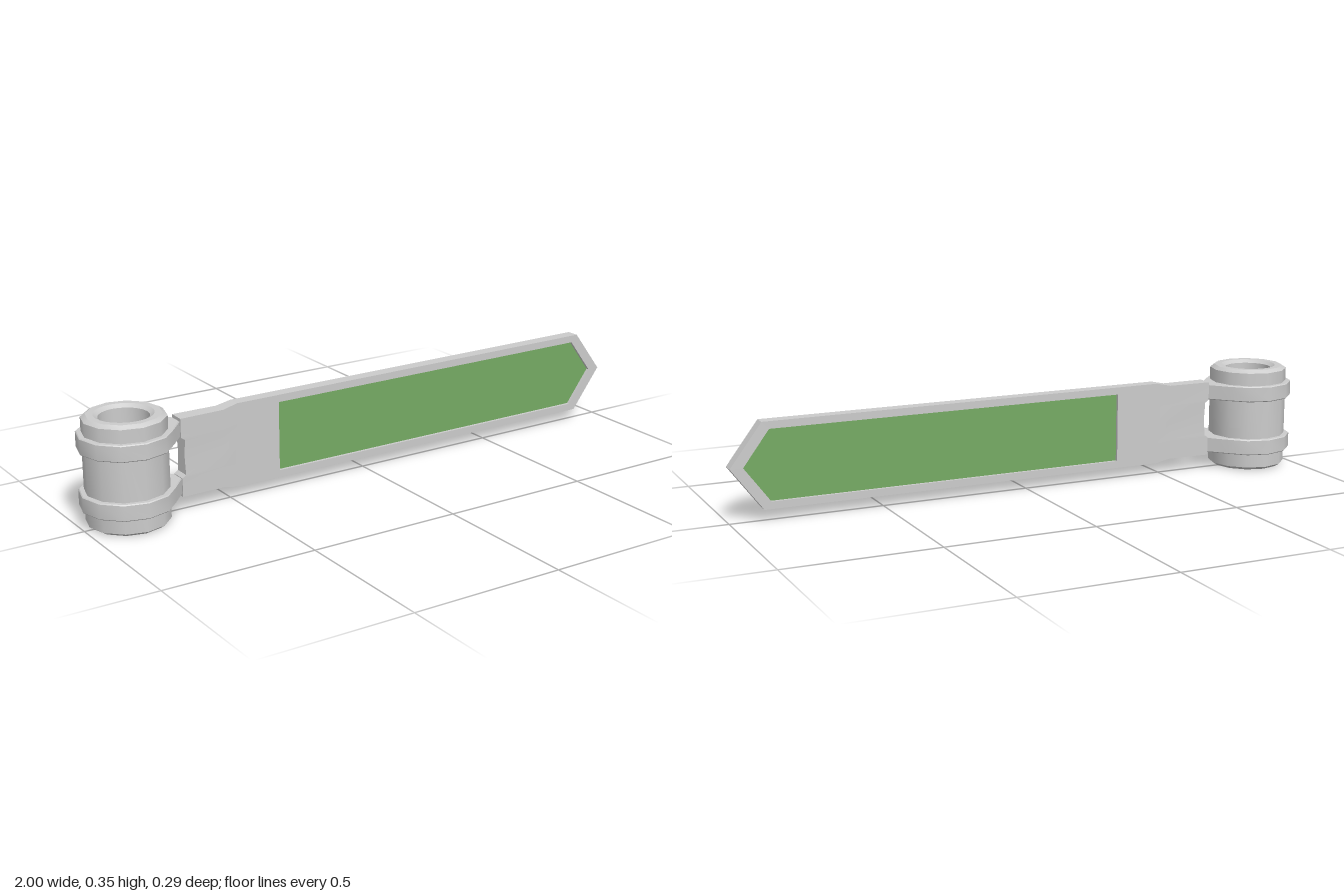
import * as THREE from 'three';
import { toCreasedNormals } from 'three/addons/utils/BufferGeometryUtils.js';

const MID = 0.176; // height of the blade's centre line
const SLEEVE_X = -0.853;

const polygon = (r, sides) => Array.from({ length: sides }, (_, i) => {
  const a = (i / sides) * Math.PI * 2;
  return new THREE.Vector2(Math.cos(a) * r, Math.sin(a) * r);
});

// Upright ring: outline and hole seen from above, between y0 and y1, with chamfered edges.
function uprightRing(outline, hole, y0, y1, bevel, rise) {
  const shape = new THREE.Shape(outline);
  shape.holes.push(new THREE.Path(hole));
  const geo = new THREE.ExtrudeGeometry(shape, {
    depth: y1 - y0 - 2 * rise, bevelEnabled: true, bevelSize: bevel,
    bevelOffset: -bevel, bevelThickness: rise, bevelSegments: 1,
  });
  geo.rotateX(-Math.PI / 2).translate(SLEEVE_X, y0 + rise, 0);
  return toCreasedNormals(geo, 0.6);
}

// Pointed plate outline, half height h
const pointed = (x0, x1, tip, h) => [
  [x0, MID - h], [x1, MID - h], [tip, MID], [x1, MID + h], [x0, MID + h],
].map(([x, y]) => new THREE.Vector2(x, y));

function plate(outline, hole, thickness) {
  const shape = new THREE.Shape(outline);
  if (hole) shape.holes.push(new THREE.Path(hole));
  return new THREE.ExtrudeGeometry(shape, { depth: thickness, bevelEnabled: false })
    .translate(0, 0, -thickness / 2);
}

// Blade root: lower and thicker at the sleeve, with a shallow hollow between the bands
function rootGeometry() {
  const xs = [-0.68, -0.53, -0.48];
  const hs = [0.127, 0.127, 0.138];
  const ys = [-1, -0.52, -0.45, 0, 0.45, 0.52, 1];
  const geo = new THREE.BoxGeometry(2, 6, 2, 2, 6, 1);
  const p = geo.attributes.position;
  for (let i = 0; i < p.count; i++) {
    const col = Math.round(p.getX(i) + 1);
    const row = Math.round(p.getY(i) + 3);
    const hollow = Math.abs(row - 3) < 2;
    let half = [0.027, 0.024, 0.021][col];
    if (col === 0 && row === 3) half = 0.021;
    const x = xs[col] + (col === 0 && hollow ? 0.013 : 0);
    p.setXYZ(i, x, MID + ys[row] * hs[col], Math.sign(p.getZ(i)) * half);
  }
  return toCreasedNormals(geo, 0.5);
}

export function createModel() {
  const group = new THREE.Group();
  const grey = new THREE.MeshStandardMaterial({ color: 0xcccccc });
  const green = new THREE.MeshStandardMaterial({ color: 0x75aa63 });
  const add = (name, geo, mat = grey) => {
    const mesh = new THREE.Mesh(geo, mat);
    mesh.name = name;
    group.add(mesh);
  };

  // Hollow sleeve
  add('sleeve', uprightRing(polygon(0.13, 12), polygon(0.078, 24), 0, 0.348, 0.014, 0.01));

  // Two clamp bands drawn out to a blunt nose where they meet the blade
  const band = [
    new THREE.Vector2(0.173, 0.022), ...polygon(0.147, 12).slice(1),
    new THREE.Vector2(0.173, -0.022),
  ];
  for (const [name, y0] of [['lowerBand', 0.057], ['upperBand', 0.242]]) {
    add(name, uprightRing(band, polygon(0.115, 12), y0, y0 + 0.053, 0.003, 0.003));
  }

  // Blade with a pointed window, and the recessed panel filling it
  const windowOutline = pointed(-0.33, 0.87, 0.955, 0.114);
  add('bladeRoot', rootGeometry());
  add('bladeFrame', plate(pointed(-0.48, 0.893, 0.997, 0.138), windowOutline, 0.042));
  add('panel', plate(windowOutline, null, 0.022), green);

  return group;
}
